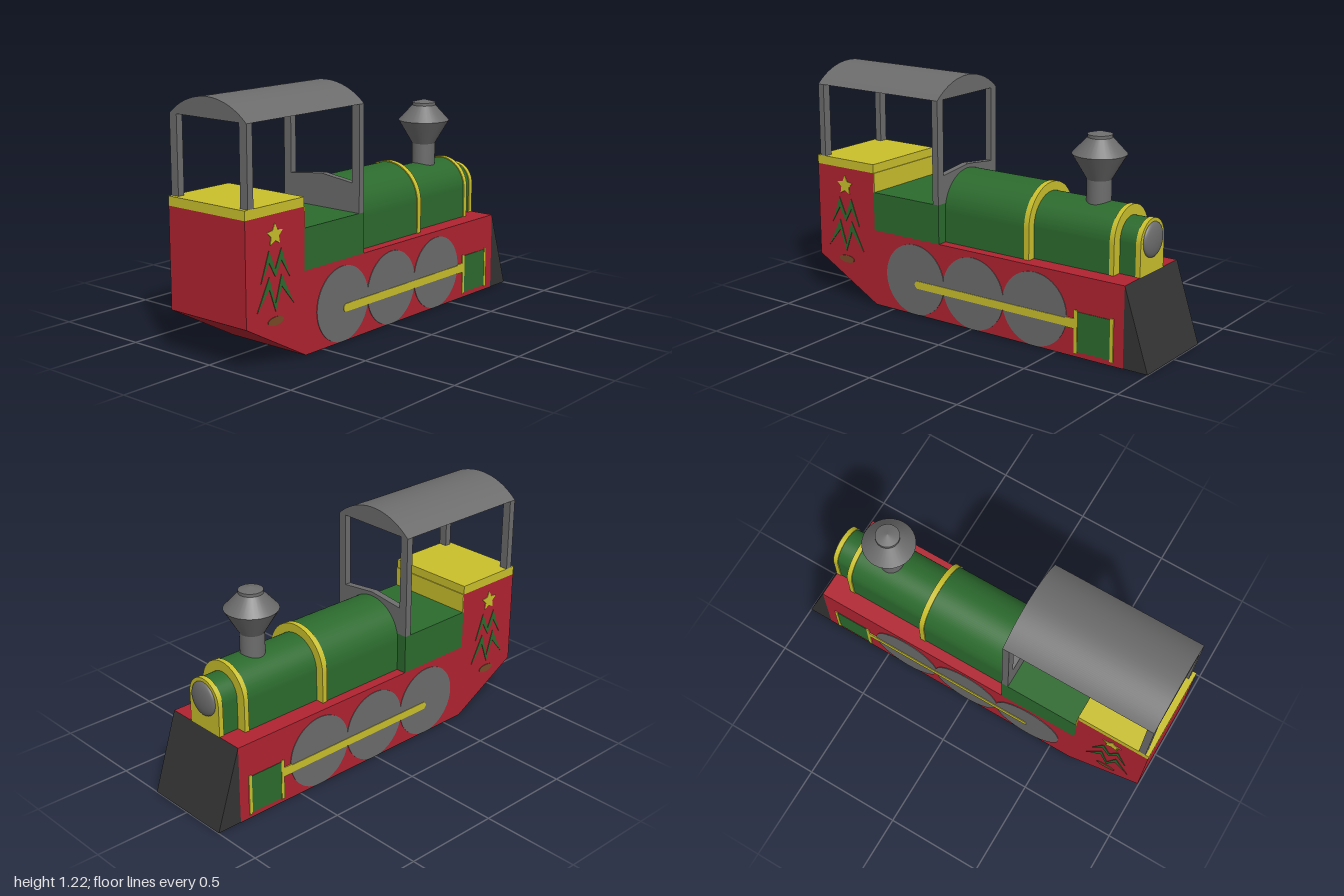
import * as THREE from 'three';

const mat = (name, color) => Object.assign(new THREE.MeshStandardMaterial({ color }), { name });

export function createModel() {
  const red = mat('red', 0xb02330), green = mat('green', 0x2c6b2e), yellow = mat('yellow', 0xcac02c);
  const grey = mat('grey', 0x6c6c6c), dark = mat('dark grey', 0x343434), brown = mat('brown', 0x7a4a28);
  const W = 0.24;
  const group = new THREE.Group();

  const add = (name, geometry, material, x = 0, y = 0, z = 0) => {
    const mesh = new THREE.Mesh(geometry, material);
    mesh.name = name;
    mesh.position.set(x, y, z);
    group.add(mesh);
    return mesh;
  };
  // Box given by its limits on each axis
  const box = (name, material, x0, x1, y0, y1, z0, z1) =>
    add(name, new THREE.BoxGeometry(x1 - x0, y1 - y0, z1 - z0), material,
      (x0 + x1) / 2, (y0 + y1) / 2, (z0 + z1) / 2);
  const poly = pts => new THREE.Shape(pts.map(p => new THREE.Vector2(...p)));
  const extrude = (shape, depth) =>
    new THREE.ExtrudeGeometry(shape, { depth, bevelEnabled: false, curveSegments: 32 });
  // Side profile in (z, y), extruded along x up to x1
  const sideways = (name, shape, material, x0, x1) =>
    add(name, extrude(shape, x1 - x0).rotateY(-Math.PI / 2), material, x1);
  // The same thin plate on both flanks
  const decal = (name, shape, material, lift = 0.003) => {
    sideways(name + 'Left', shape, material, W, W + lift);
    sideways(name + 'Right', shape, material, -W - lift, -W);
  };
  const rect = (z0, z1, y0, y1) => poly([[z0, y0], [z1, y0], [z1, y1], [z0, y1]]);
  const circle = (z, y, rz, ry = rz) => {
    const s = new THREE.Shape();
    s.absellipse(z, y, rz, ry, 0, Math.PI * 2, false, 0);
    return s;
  };

  // Chassis, cowcatcher and underside
  sideways('body', poly([[1, 0.21], [1, 0.7], [0.62, 0.7], [0.62, 0.4], [-0.87, 0.4], [-0.87, 0], [0.62, 0]]), red, -W, W);
  sideways('cowcatcher', poly([[-0.87, 0], [-0.87, 0.4], [-1, 0]]), dark, -W, W);
  box('underside', dark, -W, W, -0.002, 0.002, -0.87, 0.62);

  // Coal bunker top and cab floor
  box('bunkerTop', yellow, -W, W, 0.7, 0.745, 0.62, 1);
  box('bunkerFront', yellow, -W, W, 0.6, 0.7, 0.615, 0.62);
  box('cabBase', green, -W, W, 0.4, 0.6, 0.2, 0.62);

  // Cab pillars, front panel and arched roof
  for (const s of [-1, 1]) {
    const x0 = s > 0 ? 0.195 : -W, x1 = s > 0 ? W : -0.195;
    box('frontPillar', grey, x0, x1, 0.6, 1.12, 0.2, 0.235);
    box('rearPillar', grey, x0, x1, 0.745, 1.12, 0.945, 0.98);
  }
  add('cabFrontPanel', extrude(poly([[-0.195, 0.6], [0.195, 0.6], [0.195, 0.742], [0, 0.765], [-0.195, 0.742]]), 0.035), grey, 0, 0, 0.2);
  const rise = 0.095, R = (W * W + rise * rise) / (2 * rise), a = Math.asin(W / R);
  const roof = new THREE.Shape();
  roof.absarc(0, 1.12 + rise - R, R, Math.PI / 2 - a, Math.PI / 2 + a, false);
  roof.closePath();
  add('roof', extrude(roof, 0.78), grey, 0, 0, 0.2);

  // Boiler: arch-shaped sections, each ending in a yellow band
  const arch = (name, material, r, top, z0, z1) => {
    const s = new THREE.Shape();
    s.moveTo(-r, 0.4);
    s.lineTo(r, 0.4);
    s.absarc(0, top - r, r, 0, Math.PI, false);
    s.lineTo(-r, 0.4);
    add(name, extrude(s, z1 - z0), material, 0, 0, z0);
  };
  [[0.186, 0.744, 0.2, -0.28, -0.308], [0.148, 0.704, -0.308, -0.732, -0.757], [0.102, 0.658, -0.757, -0.845, -0.87]]
    .forEach(([r, top, back, band, front], i) => {
      arch('boilerSection' + (i + 1), green, r, top, band, back);
      arch('boilerBand' + (i + 1), yellow, r + 0.005, top + 0.005, front, band);
    });

  // Domed headlamp
  const lamp = new THREE.SphereGeometry(0.086, 32, 8, 0, Math.PI * 2, 0, Math.PI / 2);
  lamp.scale(1, 0.3, 1).rotateX(-Math.PI / 2);
  add('headlamp', lamp, grey, 0, 0.56, -0.87);

  // Flared chimney: [bottom radius, top radius, bottom y, top y]
  [[0.06, 0.06, 0.68, 0.805], [0.06, 0.132, 0.805, 0.927], [0.132, 0.06, 0.927, 1.005],
    [0.06, 0.06, 1.005, 1.02], [0.06, 0.001, 1.02, 1.035]].forEach(([r0, r1, y0, y1]) =>
    add('chimney', new THREE.CylinderGeometry(r1, r0, y1 - y0, 32), grey, 0, (y0 + y1) / 2, -0.575));

  // Wheels, coupling rod and steam cylinder
  for (const z of [0.355, -0.01, -0.375]) decal('wheel', circle(z, 0.185, 0.185), grey);
  const rod = new THREE.Shape();
  rod.moveTo(0.34, 0.182);
  rod.quadraticCurveTo(0.37, 0.162, 0.34, 0.142);
  rod.lineTo(-0.555, 0.142);
  rod.lineTo(-0.555, 0.138);
  rod.lineTo(-0.61, 0.138);
  rod.lineTo(-0.61, 0.187);
  rod.lineTo(-0.555, 0.187);
  rod.lineTo(-0.555, 0.182);
  decal('couplingRod', rod, yellow, 0.006);
  decal('steamCylinder', rect(-0.8, -0.62, 0.025, 0.223), green);
  decal('cylinderRearBand', rect(-0.62, -0.603, 0.018, 0.23), yellow, 0.005);
  decal('cylinderFrontBand', rect(-0.817, -0.8, 0.018, 0.23), yellow, 0.005);

  // Fir tree ornament with star and trunk
  const star = [];
  for (let i = 0; i < 10; i++) {
    const r = i % 2 ? 0.026 : 0.053, t = Math.PI / 2 + i * Math.PI / 5;
    star.push([0.815 + r * Math.cos(t), 0.607 + r * Math.sin(t)]);
  }
  decal('star', poly(star), yellow);
  const branches = (half, peak, valley, foot) => poly([
    [0.815 - half, foot], [0.775, peak], [0.815, valley], [0.855, peak], [0.815 + half, foot],
    [0.855, peak - 0.055], [0.815, valley - 0.035], [0.775, peak - 0.055]]);
  decal('upperBranches', branches(0.092, 0.54, 0.45, 0.4), green);
  decal('lowerBranches', branches(0.118, 0.42, 0.29, 0.27), green);
  decal('trunk', circle(0.815, 0.21, 0.05, 0.02), brown);

  return group;
}
